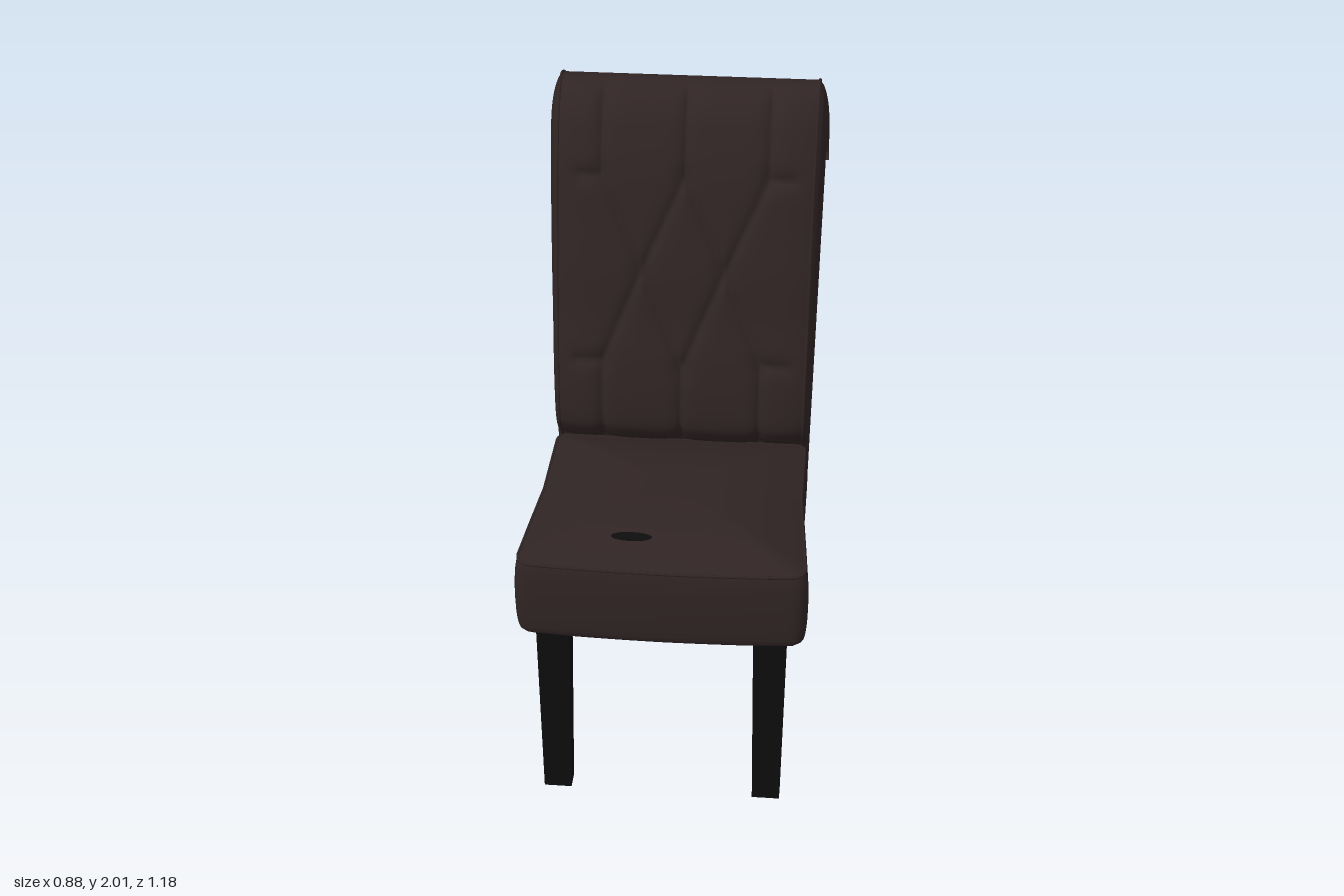
import * as THREE from 'three';
import { mergeVertices } from 'three/addons/utils/BufferGeometryUtils.js';

const material = (name, color) => {
  const m = new THREE.MeshStandardMaterial({ color });
  m.name = name;
  return m;
};

// Smooth grid surface from a rule fn(u, v) -> [x, y, z]; it faces du x dv.
function surface(fn, nu, nv) {
  const pos = [], index = [], row = nu + 1;
  for (let j = 0; j <= nv; j++)
    for (let i = 0; i <= nu; i++) pos.push(...fn(i / nu, j / nv));
  for (let j = 0; j < nv; j++)
    for (let i = 0; i < nu; i++) {
      const a = j * row + i;
      index.push(a, a + 1, a + row, a + 1, a + row + 1, a + row);
    }
  let g = new THREE.BufferGeometry();
  g.setAttribute('position', new THREE.Float32BufferAttribute(pos, 3));
  g.setIndex(index);
  g = mergeVertices(g, 1e-5);
  g.computeVertexNormals();
  return g;
}

// ---- Backrest profiles, as (z, y)
const curve = (pts) => new THREE.SplineCurve(pts.map(([z, y]) => new THREE.Vector2(z, y)));
const frontCurve = curve([
  [-0.19, 0.635], [-0.185, 0.84], [-0.15, 0.895], [-0.124, 0.95], [-0.125, 1.05],
  [-0.145, 1.18], [-0.175, 1.3], [-0.205, 1.46], [-0.245, 1.62], [-0.278, 1.75],
  [-0.315, 1.85], [-0.355, 1.93], [-0.41, 1.983], [-0.48, 2.0], [-0.55, 1.97],
  [-0.588, 1.89], [-0.565, 1.805], [-0.51, 1.763], [-0.457, 1.75]]);
const rearCurve = curve([
  [-0.305, 0.635], [-0.325, 0.8], [-0.34, 1.0], [-0.37, 1.22], [-0.405, 1.45],
  [-0.45, 1.67], [-0.457, 1.75]]);
const halfWidth = (t) => 0.39 + 0.012 * t;

// Tufting creases (x1, y1, x2, y2) for one half; mirrored through |x|
const creases = [
  [0, 2.1, 0, 1.75], [0.26, 2.1, 0.26, 1.75], [0, 1.75, 0.13, 1.46], [0.26, 1.75, 0.13, 1.46],
  [0.13, 1.46, 0, 1.15], [0.13, 1.46, 0.25, 1.17], [0, 1.15, 0, 0.8], [0.25, 1.17, 0.25, 0.8],
  [0.26, 1.75, 0.33, 1.75], [0.25, 1.17, 0.33, 1.17]];
const buttons = [[0, 1.75], [0.26, 1.75], [0.13, 1.46], [0, 1.15], [0.25, 1.17]];

function tuftDepth(x, y) {
  x = Math.abs(x);
  let d = 1;
  for (const [ax, ay, bx, by] of creases) {
    const ex = bx - ax, ey = by - ay;
    const k = THREE.MathUtils.clamp(((x - ax) * ex + (y - ay) * ey) / (ex * ex + ey * ey), 0, 1);
    d = Math.min(d, Math.hypot(x - ax - k * ex, y - ay - k * ey));
  }
  let depth = 0.018 * Math.exp(-d / 0.018);
  for (const [bx, by] of buttons) depth += 0.01 * Math.exp(-(((x - bx) ** 2 + (y - by) ** 2) / 0.0012));
  return depth;
}

function frontPoint(t, x) {
  const p = frontCurve.getPointAt(t), n = frontCurve.getTangentAt(t);
  const fade = THREE.MathUtils.smoothstep(p.x, -0.47, -0.36);
  const edge = 0.018 * Math.pow(Math.abs(x) / halfWidth(t), 8);
  const dip = fade * (tuftDepth(x, p.y) + edge);
  return [x, p.y + n.x * dip, p.x - n.y * dip];
}

function rearPoint(t, x) {
  const p = rearCurve.getPointAt(Math.min(1, t / 0.68));
  const d = Math.min(Math.abs(x), Math.abs(Math.abs(x) - 0.2));
  const fade = THREE.MathUtils.smoothstep(1.75 - p.y, 0, 0.1);
  const dip = fade * (0.012 * Math.exp(-d / 0.025) + 0.01 * Math.pow(Math.abs(x) / halfWidth(t), 8));
  return [x, p.y, p.x + dip];
}

// Bulging cheek between the front and rear profiles
function cheekPoint(side, t, s) {
  const x = side * halfWidth(t);
  const a = frontPoint(t, x), b = rearPoint(t, x);
  const bulge = (0.02 + 0.015 * t) * Math.pow(Math.max(0, Math.sin(Math.PI * s)), 0.6);
  return [x + side * bulge, a[1] + (b[1] - a[1]) * s, a[2] + (b[2] - a[2]) * s];
}

// ---- Seat outline, as (x, z), wider at the front with rounded corners
const outline = new THREE.Shape();
outline.moveTo(0, 0.59);
outline.quadraticCurveTo(0.25, 0.588, 0.4, 0.575);
outline.quadraticCurveTo(0.435, 0.572, 0.441, 0.53);
outline.quadraticCurveTo(0.425, 0.3, 0.413, 0.15);
outline.lineTo(0.413, -0.15);
outline.quadraticCurveTo(0.413, -0.185, 0.38, -0.185);
outline.lineTo(-0.38, -0.185);
outline.quadraticCurveTo(-0.413, -0.185, -0.413, -0.15);
outline.lineTo(-0.413, 0.15);
outline.quadraticCurveTo(-0.425, 0.3, -0.441, 0.53);
outline.quadraticCurveTo(-0.435, 0.572, -0.4, 0.575);
outline.quadraticCurveTo(-0.25, 0.588, 0, 0.59);
const SEG = 160, ring = outline.getSpacedPoints(SEG);
const ringPoint = (u, f, y) => {
  const p = ring[Math.round(u * SEG) % SEG];
  return [p.x * f, y, 0.2 + (p.y - 0.2) * f];
};
// Rings of the outline: [scale, height]
const rings = (list) => surface((u, v) => ringPoint(u, ...list[Math.round(v * (list.length - 1))]), SEG, list.length - 1);

// Tapered leg: rows of [y, xInner, xOuter, zBack, zFront] mixed by a rule
function legGeometry(side, rule) {
  const g = new THREE.BoxGeometry(1, 1, 1, 1, 10, 1), p = g.attributes.position;
  for (let i = 0; i < p.count; i++) {
    const k = p.getY(i) + 0.5;
    const { x, z, w, d } = rule(k);
    p.setXYZ(i, side * x + p.getX(i) * w, k * 0.645, z + p.getZ(i) * d);
  }
  g.computeVertexNormals();
  return g;
}

export function createModel() {
  const chair = new THREE.Group();
  chair.name = 'diningChair';
  const leather = material('dark brown leather', 0x302424);
  const wood = material('black wood', 0x0d0d0d);
  const lining = material('olive lining', 0x38301f);

  const add = (parent, name, geometry, mat) => {
    const mesh = new THREE.Mesh(geometry, mat);
    mesh.name = name;
    parent.add(mesh);
    return mesh;
  };
  const group = (name) => {
    const g = new THREE.Group();
    g.name = name;
    chair.add(g);
    return g;
  };
  const piping = (points, closed) => new THREE.TubeGeometry(
    new THREE.CatmullRomCurve3(points.map((p) => new THREE.Vector3(...p)), closed), 160, 0.005, 6, closed);

  // Backrest with tufted front, scrolled top, channelled rear and cheeks
  const back = group('backrest');
  add(back, 'tuftedFront', surface((u, v) => frontPoint(v, (2 * u - 1) * halfWidth(v)), 120, 150), leather);
  add(back, 'rearPanel', surface((u, v) => rearPoint(v * 0.68, (1 - 2 * u) * halfWidth(v * 0.68)), 80, 40), leather);
  add(back, 'backrestBase', surface((u, v) => {
    const x = (2 * u - 1) * halfWidth(0), a = rearPoint(0, x), b = frontPoint(0, x);
    return [x, a[1], a[2] + (b[2] - a[2]) * v];
  }, 40, 1), leather);
  for (const side of [1, -1]) {
    const name = side > 0 ? 'left' : 'right';
    add(back, name + 'Cheek', surface((u, v) => cheekPoint(side, v, side > 0 ? u : 1 - u), 16, 120), leather);
    const seam = Array.from({ length: 60 }, (_, i) => frontPoint(i / 59, side * halfWidth(i / 59)));
    add(back, name + 'Piping', piping(seam, false), leather);
  }

  // Seat with boxed sides, domed top and recessed underside
  const seat = group('seat');
  add(seat, 'seatSides', rings([
    [0.88, 0.645], [0.88, 0.622], [0.9, 0.618], [0.965, 0.619], [0.982, 0.628], [0.99, 0.645],
    [0.997, 0.68], [1, 0.73], [1, 0.78], [0.994, 0.83], [0.984, 0.858], [0.97, 0.872]]), leather);
  const dome = Array.from({ length: 17 }, (_, i) => {
    const f = 1 - i / 16;
    return [0.97 * f, 0.872 + 0.061 * (1 - Math.pow(f, 2.5))];
  });
  add(seat, 'seatTop', rings(dome), leather);
  add(seat, 'seatPiping', piping(ring.slice(0, SEG).map((_, i) => ringPoint(i / SEG, 0.973, 0.87)), true), leather);
  add(seat, 'seatLining', rings([[0, 0.643], [0.885, 0.643]]), lining);

  // Small dark marks on the seat top
  for (const [x, z, w, d] of [[-0.095, 0.45, 0.062, 0.018], [-0.217, 0.456, 0.016, 0.018]]) {
    const mark = add(seat, 'seatMark', new THREE.CylinderGeometry(1, 1, 0.006, 20), wood);
    mark.scale.set(w, 1, d);
    mark.position.set(x, x < -0.2 ? 0.902 : 0.909, z);
    mark.rotation.x = 0.22;
  }

  // Straight tapered front legs and rear legs that sweep backwards
  const legs = group('legs');
  for (const side of [1, -1]) {
    const name = side > 0 ? 'left' : 'right';
    add(legs, name + 'FrontLeg', legGeometry(side, (k) => ({
      x: 0.33, z: 0.511 - 0.016 * k, w: 0.086 + 0.016 * k, d: 0.06 + 0.022 * k })), wood);
    add(legs, name + 'RearLeg', legGeometry(side, (k) => ({
      x: 0.33, z: -0.245 - 0.088 * Math.pow(1 - k, 1.7), w: 0.08 + 0.012 * k, d: 0.062 + 0.022 * k })), wood);
  }
  return chair;
}
